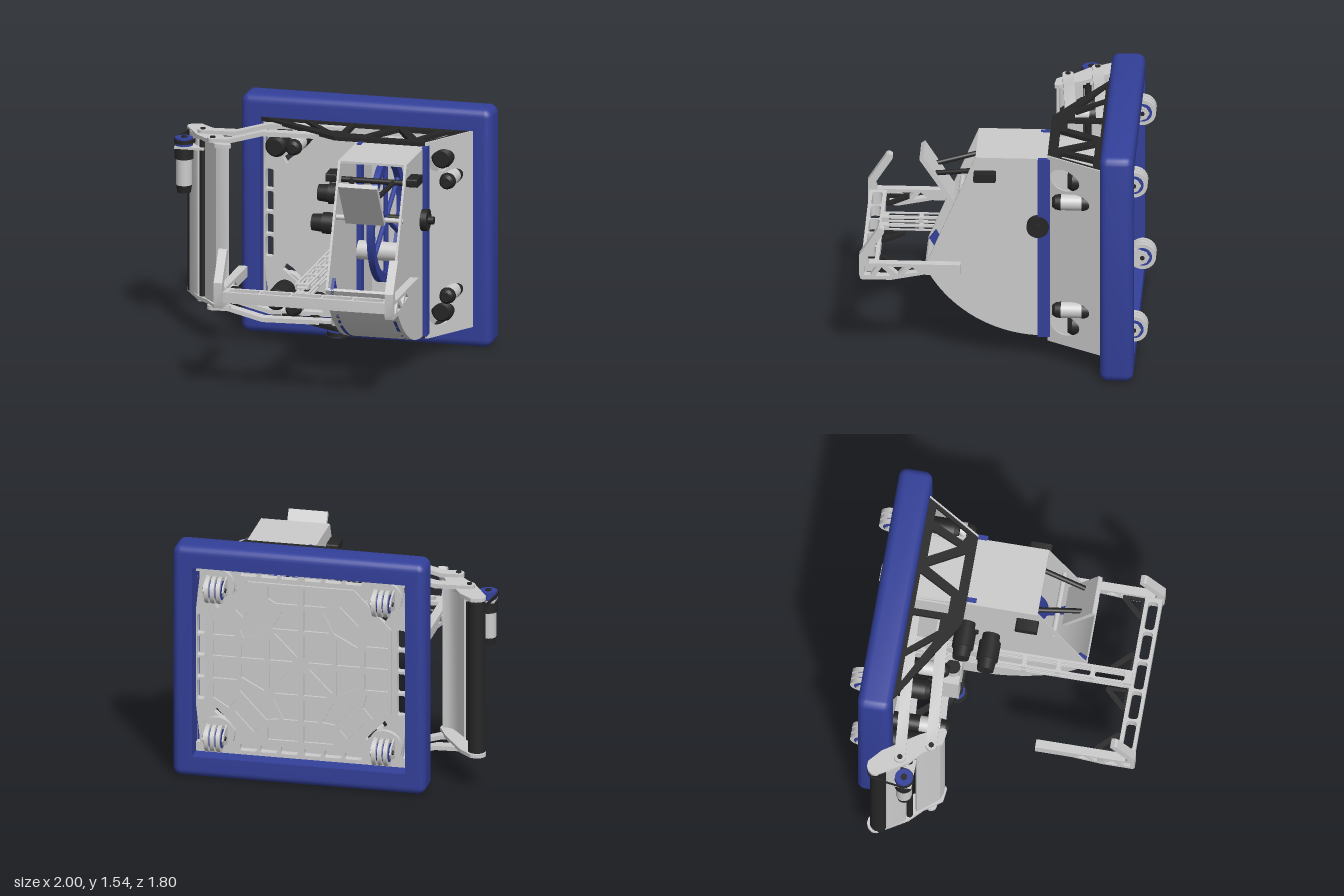
import * as THREE from 'three';
import { toCreasedNormals } from 'three/addons/utils/BufferGeometryUtils.js';

const mat = (color) => new THREE.MeshStandardMaterial({ color, side: THREE.DoubleSide });
const V = (x, y, z) => new THREE.Vector3(x, y, z);

export function createModel() {
  const root = new THREE.Group();
  const grey = mat(0xcccccc), black = mat(0x262626), blue = mat(0x33409a);
  const MID = 0.77, CX = 0.2;

  const add = (name, geo, m) => {
    const mesh = new THREE.Mesh(geo, m);
    mesh.name = name;
    root.add(mesh);
    return mesh;
  };
  // box given by its limits on each axis
  const box = (name, m, x0, x1, y0, y1, z0, z1) =>
    add(name, new THREE.BoxGeometry(x1 - x0, y1 - y0, z1 - z0)
      .translate((x0 + x1) / 2, (y0 + y1) / 2, (z0 + z1) / 2), m);
  // cylinder between two points
  const rod = (name, m, a, b, r, r2 = r) => {
    const d = b.clone().sub(a);
    const mesh = add(name, new THREE.CylinderGeometry(r2, r, d.length(), 32), m);
    mesh.position.copy(a).addScaledVector(d, 0.5);
    mesh.quaternion.setFromUnitVectors(V(0, 1, 0), d.normalize());
  };
  const path = (pts) => pts.map((p) => new THREE.Vector2(p[0], p[1]));
  // extruded outline with holes; plane is xy, xz or zy, from 'a' to 'b' on the third axis;
  // an optional rule moves the vertices
  const plate = (name, m, plane, pts, a, b, holes = [], rule) => {
    const s = new THREE.Shape(path(pts));
    holes.forEach((h) => s.holes.push(new THREE.Path(path(h))));
    const g = new THREE.ExtrudeGeometry(s, { depth: b - a, bevelEnabled: false });
    if (plane === 'xy') g.translate(0, 0, a);
    if (plane === 'xz') g.rotateX(Math.PI / 2).translate(0, b, 0);
    if (plane === 'zy') g.rotateY(-Math.PI / 2).translate(b, 0, 0);
    const p = g.attributes.position;
    if (rule) for (let i = 0; i < p.count; i++) p.setXYZ(i, ...rule(p.getX(i), p.getY(i), p.getZ(i)));
    add(name, toCreasedNormals(g, 0.5), m);
  };
  const ellipse = (cx, cy, rx, ry, n = 32) => Array.from({ length: n }, (_, i) =>
    [cx + rx * Math.cos(i * 2 * Math.PI / n), cy + ry * Math.sin(i * 2 * Math.PI / n)]);
  // rectangle outline with rounded corners
  const rect = (x0, x1, y0, y1, r = 0.012) => [[x1 - r, y1 - r], [x0 + r, y1 - r], [x0 + r, y0 + r], [x1 - r, y0 + r]]
    .flatMap(([x, y], c) => [0, 1, 2, 3, 4].map((i) => {
      const t = (c + i / 4) * Math.PI / 2;
      return [x + r * Math.cos(t), y + r * Math.sin(t)];
    }));
  // round-ended bar outline between two points
  const capsule = (a, b, r) => {
    const t = Math.atan2(b[1] - a[1], b[0] - a[0]), out = [];
    for (const [c, s] of [[b, -1], [a, 1]]) for (let i = 0; i <= 10; i++) {
      const u = t + s * Math.PI / 2 + i * Math.PI / 10;
      out.push([c[0] + r * Math.cos(u), c[1] + r * Math.sin(u)]);
    }
    return out;
  };

  // padded bumper ring: rounded outside, straight inside
  const B = 0.05, hw = 0.68, hh = 0.63;
  const ring = new THREE.Shape(path(rect(-0.807 + B, 0.807 - B, -0.768 + B, 0.768 - B, 0.006)));
  ring.holes.push(new THREE.Path(path([[-hw, -hh], [hw, -hh], [hw, hh], [-hw, hh]])));
  const bg = new THREE.ExtrudeGeometry(ring, { depth: 0.21 - 2 * B, bevelSize: B, bevelThickness: B, bevelSegments: 6 });
  const bp = bg.attributes.position;
  for (let i = 0; i < bp.count; i++) {
    const x = bp.getX(i), y = bp.getY(i);
    if (Math.abs(x) <= hw + 1e-4 && Math.abs(y) <= hh + 1e-4) bp.setXY(i, Math.sign(x) * hw, Math.sign(y) * hh);
  }
  bg.translate(0.192, MID, -0.82 + B);
  add('bumper', toCreasedNormals(bg, 0.6), blue);

  // base plate with slotted rim, and pocketed ribs behind it
  const mirror4 = (polys) => polys.flatMap((p) => [[1, 1], [-1, 1], [1, -1], [-1, -1]]
    .map(([sx, sy]) => p.map(([u, v]) => [CX + sx * u, MID + sy * v])));
  const slots = [[[0.38, 0.42], [0.42, 0.47], [0.555, 0.36], [0.53, 0.32]], [[0.672, 0.32], [0.672, 0.57], [0.645, 0.57]]];
  for (let i = 0; i < 2; i++) slots.push(rect(0.615, 0.665, 0.008 + i * 0.145, 0.138 + i * 0.145));
  for (let i = 0; i < 3; i++) slots.push(rect(0.02 + i * 0.13, 0.13 + i * 0.13, 0.56, 0.605));
  plate('basePlate', grey, 'xy', rect(CX - 0.68, CX + 0.68, 0.14, 1.4), -0.71, -0.66, mirror4(slots));
  const pockets = [
    [[0.02, 0.05], [0.17, 0.2], [0.02, 0.2]],
    [[0.05, 0.02], [0.2, 0.02], [0.2, 0.17]],
    [[0.02, 0.23], [0.18, 0.23], [0.11, 0.37], [0.02, 0.37]],
    [[0.23, 0.02], [0.38, 0.02], [0.38, 0.11], [0.23, 0.19]],
    [[0.21, 0.23], [0.36, 0.15], [0.39, 0.2], [0.22, 0.38], [0.14, 0.37]],
    [[0.02, 0.4], [0.16, 0.4], [0.21, 0.43], [0.21, 0.51], [0.02, 0.51]],
    [[0.41, 0.02], [0.56, 0.02], [0.56, 0.13], [0.41, 0.13]],
    [[0.42, 0.16], [0.56, 0.16], [0.56, 0.26], [0.46, 0.32], [0.4, 0.25]],
    [[0.25, 0.41], [0.37, 0.29], [0.42, 0.34], [0.3, 0.47]],
  ];
  const q = [[0.58, 0.28], [0.34, 0.53], [-0.34, 0.53], [-0.58, 0.28], [-0.58, -0.28], [-0.34, -0.53], [0.34, -0.53], [0.58, -0.28]];
  plate('undersideRibs', grey, 'xy', q.map(([u, v]) => [CX + u, MID + v]), -0.725, -0.71, mirror4(pockets));

  // four drive modules: grooved wheel, fork, steering motor, drive motor
  for (const sx of [-1, 1]) for (const sy of [-1, 1]) {
    const x = 0.195 + sx * 0.535, y = MID + sy * 0.495;
    rod('wheelTurntable', grey, V(x, y, -0.74), V(x, y, -0.68), 0.11);
    for (const [a, b] of [[-0.05, -0.025], [-0.013, 0.013], [0.025, 0.05]])
      rod('wheelTread', grey, V(x + a, y, -0.815), V(x + b, y, -0.815), 0.085);
    rod('wheelHub', blue, V(x - 0.053, y, -0.815), V(x + 0.053, y, -0.815), 0.06);
    rod('wheelAxle', black, V(x - 0.073, y, -0.815), V(x + 0.073, y, -0.815), 0.014);
    for (const s of [-1, 1]) plate('wheelFork', grey, 'zy', [[-0.72, y + 0.07], [-0.8, y + 0.05], [-0.84, y + 0.035], [-0.86, y], [-0.84, y - 0.035], [-0.8, y - 0.05], [-0.72, y - 0.07]], x + s * 0.061 - 0.005, x + s * 0.061 + 0.005);
    rod('steeringMotor', black, V(x, y, -0.66), V(x, y, -0.43), 0.068);
    rod('steeringMotorCap', black, V(x, y, -0.43), V(x, y, -0.4), 0.068, 0.05);
    const mx = sx < 0 ? -0.205 : 0.785, my = MID + sy * (sx < 0 ? 0.52 : 0.37);
    rod('driveMotorBase', black, V(mx, my, -0.66), V(mx, my, -0.49), 0.052);
    rod('driveMotorCan', grey, V(mx, my, -0.49), V(mx, my, -0.36), 0.05);
    rod('driveMotorCap', black, V(mx, my, -0.36), V(mx, my, -0.325), 0.052, 0.046);
    rod('driveMotorTip', black, V(mx, my, -0.325), V(mx, my, -0.305), 0.046, 0.03);
  }

  // black truss plates at top and bottom
  const trussHoles = [
    [[-0.37, -0.585], [-0.19, -0.585], [-0.05, -0.42]], [[-0.14, -0.585], [0.09, -0.585], [0.09, -0.41], [0.01, -0.41]],
    [[0.13, -0.585], [0.37, -0.585], [0.25, -0.37], [0.13, -0.37]], [[0.42, -0.55], [0.54, -0.33], [0.29, -0.33]],
    [[0.48, -0.56], [0.66, -0.56], [0.58, -0.38]], [[0.72, -0.56], [0.81, -0.56], [0.67, -0.33], [0.62, -0.36]],
  ];
  for (const y of [0.14, 1.375]) {
    plate('trussPlate', black, 'xz', [[-0.48, -0.61], [0.87, -0.61], [0.66, -0.27], [0.08, -0.27], [-0.02, -0.33]], y, y + 0.025, trussHoles);
    box('crossRail', grey, -0.46, 0.86, y - (y > 1 ? 0.04 : -0.025), y + (y > 1 ? 0 : 0.06), -0.66, -0.62);
  }

  // slanted side panel with openings for the steering motors
  plate('slantedPanel', grey, 'zy', rect(-0.62, -0.27, 0.135, 1.402, 0.002), 0.66, 0.673,
    [1.265, 0.275].map((y) => ellipse(-0.375, y, 0.088, 0.07)), (x, y, z) => [x - (z + 0.27) * 0.61, y, z]);

  // launcher side plates, covers, blue guide strips
  const arc = new THREE.CubicBezierCurve(new THREE.Vector2(-0.28, 0.165), new THREE.Vector2(0.02, 0.15), new THREE.Vector2(0.33, 0.3), new THREE.Vector2(0.495, 0.62)).getPoints(24).map((p) => [p.x, p.y]);
  const side = [[-0.6, 1.335], [-0.6, 0.17], ...arc, [0.18, 1.375], [-0.28, 1.375]];
  const band = (d) => [...arc, ...arc.map(([z, y]) => [z - d, y + d * 1.4]).reverse()];
  for (const x of [0.22, 0.645]) plate('launcherSide', grey, 'zy', side, x, x + 0.015);
  box('topCover', grey, 0.22, 0.66, 1.36, 1.375, -0.28, 0.18);
  box('rearCover', grey, 0.21, 0.65, 1.325, 1.335, -0.6, -0.28);
  plate('lowerCover', grey, 'zy', band(0.01), 0.23, 0.65);
  for (const x of [0.235, 0.655]) box('blueRail', blue, x, x + 0.03, 0.165, 1.38, -0.285, -0.21);
  for (const x of [0.25, 0.615]) plate('blueGuide', blue, 'zy', band(0.05), x, x + 0.02);
  plate('flywheelRim', blue, 'zy', ellipse(-0.19, 0.92, 0.4, 0.4, 64), 0.41, 0.45, [ellipse(-0.19, 0.92, 0.34, 0.34, 64)]);
  for (let i = 0; i < 3; i++) {
    const t = 0.5 + i * Math.PI / 3, dy = 0.35 * Math.sin(t), dz = 0.35 * Math.cos(t);
    rod('flywheelSpoke', blue, V(0.43, 0.92 - dy, -0.19 - dz), V(0.43, 0.92 + dy, -0.19 + dz), 0.015);
  }
  rod('flywheelShaft', black, V(0.2, 0.92, -0.21), V(0.7, 0.92, -0.21), 0.02);
  rod('shaftPulley', black, V(0.66, 0.92, -0.21), V(0.7, 0.92, -0.21), 0.07);
  rod('shaftPulleyCap', black, V(0.7, 0.92, -0.21), V(0.735, 0.92, -0.21), 0.025);
  rod('feedRoller', grey, V(0.28, 0.73, -0.1), V(0.65, 0.73, -0.1), 0.06);

  // launcher motors on the inner side
  for (const [y, z] of [[1.035, -0.265], [0.885, -0.11]]) {
    rod('launcherMotorNeck', black, V(0.17, y, z), V(0.22, y, z), 0.055);
    rod('launcherMotor', black, V(0.05, y, z), V(0.17, y, z), 0.068);
    rod('launcherMotorCap', black, V(-0.02, y, z), V(0.05, y, z), 0.052, 0.058);
  }

  // tilting deflector flap with its linkage
  rod('flapHinge', grey, V(0.215, 1.04, 0.28), V(0.665, 1.04, 0.28), 0.016);
  plate('deflectorFlap', grey, 'zy', [[0.32, 1.03], [0.345, 1.02], [0.535, 1.305], [0.51, 1.325]], 0.31, 0.56);
  rod('flapShaft', black, V(0.2, 1.25, 0.15), V(0.68, 1.25, 0.15), 0.018);
  for (const [a, b] of [[0.3, 0.36], [0.57, 0.51]]) rod('flapLink', black, V(a, 1.25, 0.15), V(b, 1.195, 0.435), 0.016);
  for (const x of [0.14, 0.655]) plate('flapServo', black, 'zy', rect(0.05, 0.19, 1.235, 1.288, 0.01), x, x + 0.075);

  // telescoping beam carrying the front fork, with slotted side rails
  const beamSlots = [];
  for (let i = 0; i < 6; i++) beamSlots.push([-0.52 + i * 0.215, -0.33 + i * 0.215]);
  for (const y of [0.645, 0.7]) {
    for (const t of [y, y + 0.024]) plate('slidingBeam', grey, 'xz', rect(0.1, 0.19, -0.58, 0.79), t, t + 0.008, beamSlots.map(([a, b]) => rect(0.115, 0.175, a, b)));
    for (const x of [0.1, 0.182]) plate('beamRail', grey, 'zy', rect(-0.58, 0.79, y, y + 0.032, 0.002), x, x + 0.008, beamSlots.map(([a, b]) => rect(a, b, y + 0.008, y + 0.024, 0.006)));
  }

  // front fork: slotted crossbar, side arms, raised tips, gussets
  const barSlots = [];
  for (let i = 0; i < 5; i++) barSlots.push(rect(-0.305 + i * 0.2, -0.12 + i * 0.2, 0.805, 0.868, 0.02));
  plate('forkCrossbar', grey, 'xz', rect(-0.35, 0.71, 0.78, 0.89), 0.605, 0.675, barSlots);
  for (const x of [-0.395, 0.705]) {
    plate('forkArm', grey, 'zy', [[0.27, 0.61], [0.5, 0.61], [0.7, 0.57], [0.89, 0.57], [0.9, 0.6], [0.9, 0.735],
      [0.785, 0.915], [0.77, 0.922], [0.745, 0.91], [0.745, 0.89], [0.855, 0.72], [0.84, 0.68], [0.27, 0.68]], x, x + 0.055,
    [[[0.53, 0.625], [0.62, 0.61], [0.57, 0.66]], [[0.66, 0.605], [0.72, 0.66], [0.61, 0.66]], [[0.7, 0.595], [0.8, 0.595], [0.76, 0.655]], [[0.83, 0.6], [0.87, 0.6], [0.87, 0.66], [0.79, 0.66]]]);
  }
  for (const [x, s] of [[-0.34, 1], [0.09, -1], [0.2, 1], [0.705, -1]])
    plate('forkGusset', black, 'xz', [[x, 0.64], [x + s * 0.03, 0.64], [x + s * 0.14, 0.755], [x + s * 0.14, 0.785], [x, 0.785]], 0.63, 0.65,
      [[[x + s * 0.02, 0.68], [x + s * 0.1, 0.763], [x + s * 0.02, 0.763]]]);

  // swinging side collector: bent links and end plates mirrored top and bottom
  for (const s of [-1, 1]) {
    const ya = MID + s * 0.54, yb = MID + s * 0.6;
    for (const [a, b] of [[[-0.83, -0.51], [0.08, -0.58]], [[-0.72, -0.33], [0.06, -0.385]]]) {
      const line = [[a[0], ya], [-0.62, ya], [-0.4, yb], [b[0], yb]], slope = (b[1] - a[1]) / (b[0] - a[0]);
      plate('swingLink', grey, 'xy', [...line.map(([x, y]) => [x, y - 0.014]), ...line.map(([x, y]) => [x, y + 0.014]).reverse()],
        -0.035, 0.035, [], (x, y, z) => [x, y, z + a[1] + (x - a[0]) * slope]);
      rod('linkEnd', grey, V(a[0], ya - 0.014, a[1]), V(a[0], ya + 0.014, a[1]), 0.035);
      rod('linkPin', black, V(a[0], ya - 0.022, a[1]), V(a[0], ya + 0.022, a[1]), 0.016);
      box('linkClevis', grey, b[0] - 0.06, b[0] + 0.03, yb - 0.025, yb + 0.005, b[1] - 0.04, b[1] + 0.04);
    }
    const e = MID + s * 0.52;
    plate('collectorEndPlate', grey, 'xz', [[-0.945, -0.69], [-0.915, -0.703], [-0.88, -0.7], [-0.8, -0.63], [-0.655, -0.415], [-0.59, -0.28],
      [-0.595, -0.255], [-0.61, -0.25], [-0.69, -0.26], [-0.735, -0.318], [-0.77, -0.37], [-0.853, -0.45], [-0.965, -0.635], [-0.965, -0.665]], e - 0.012, e + 0.012);
  }
  plate('collectorGuard', grey, 'xz', [[-0.79, -0.41], [-0.735, -0.34], [-0.685, -0.28], [-0.64, -0.264], [-0.6, -0.264],
    [-0.605, -0.28], [-0.64, -0.28], [-0.675, -0.295], [-0.722, -0.35], [-0.775, -0.42]], 0.24, 1.3);
  rod('collectorRoller', black, V(-0.905, 0.25, -0.63), V(-0.905, 1.29, -0.63), 0.055);
  plate('collectorBackStrip', grey, 'xz', capsule([-0.85, -0.48], [-0.92, -0.575], 0.012), 0.25, 1.29);
  rod('collectorTube', black, V(-0.815, 0.25, -0.45), V(-0.815, 1.29, -0.45), 0.02);
  // collector motor, pulley and belt
  rod('collectorMotorCap', black, V(-0.94, 0.92, -0.465), V(-0.94, 0.97, -0.465), 0.042, 0.05);
  rod('collectorMotor', grey, V(-0.94, 0.97, -0.465), V(-0.94, 1.14, -0.465), 0.05);
  rod('collectorGearbox', black, V(-0.94, 1.14, -0.465), V(-0.94, 1.21, -0.465), 0.06);
  rod('collectorPulley', blue, V(-0.94, 1.225, -0.465), V(-0.94, 1.275, -0.465), 0.056);
  rod('collectorPulleyBore', black, V(-0.94, 1.225, -0.465), V(-0.94, 1.282, -0.465), 0.02);
  box('motorMount', grey, -0.99, -0.8, 1.21, 1.225, -0.52, -0.41);
  plate('collectorBelt', black, 'xz', capsule([-0.94, -0.465], [-0.915, -0.64], 0.062), 1.24, 1.265, [capsule([-0.94, -0.465], [-0.915, -0.64], 0.057)]);

  // swing drive: upright gearmotor with a belt under the bottom truss
  rod('swingMotor', grey, V(0.085, 0.17, -0.33), V(0.085, 0.565, -0.33), 0.04);
  rod('swingMotorCap', black, V(0.085, 0.565, -0.33), V(0.085, 0.585, -0.33), 0.045);
  for (const x of [0, 0.11]) box('swingMotorBracket', grey, x, x + 0.06, 0.24, 0.49, -0.39, -0.28);
  for (const [x, z] of [[0.085, -0.31], [0.615, -0.53]]) {
    rod('swingPulley', blue, V(x, 0.098, z), V(x, 0.14, z), 0.056);
    rod('swingPulleyFlange', black, V(x, 0.1, z), V(x, 0.108, z), 0.068);
  }
  plate('swingBelt', black, 'xz', capsule([0.085, -0.31], [0.615, -0.53], 0.062), 0.112, 0.135, [capsule([0.085, -0.31], [0.615, -0.53], 0.057)]);

  return root;
}
